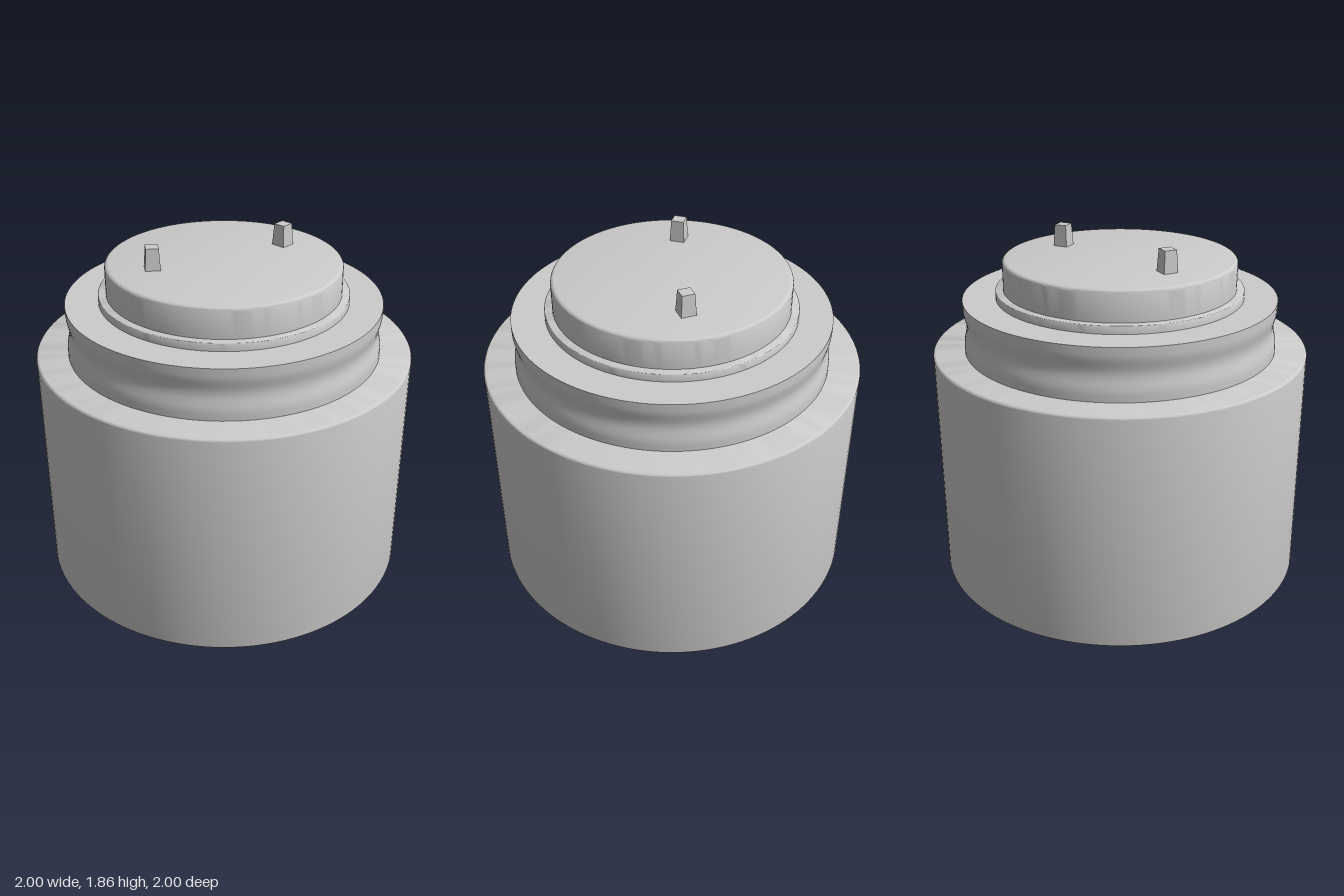
import * as THREE from 'three';
import { toCreasedNormals } from 'three/addons/utils/BufferGeometryUtils.js';

const material = new THREE.MeshStandardMaterial({ color: 0xcccccc });

function addMesh(group, name, geometry) {
  const mesh = new THREE.Mesh(geometry, material);
  mesh.name = name;
  group.add(mesh);
  return mesh;
}

// Turned part from a bottom-to-top profile of [radius, y]; hard corners stay sharp.
function turned(profile) {
  const points = profile.map(([r, y]) => new THREE.Vector2(r, y));
  return toCreasedNormals(new THREE.LatheGeometry(points, 128), 0.6);
}

// Quarter-round edge between a side wall and a flat face (dir 1 = top, -1 = bottom).
function roundedEdge(radius, y, size, dir) {
  const arc = [];
  for (let i = 0; i <= 4; i++) {
    const a = (i / 4) * Math.PI / 2;
    arc.push([radius - size * (1 - Math.cos(a)), y - dir * size * (1 - Math.sin(a))]);
  }
  return dir > 0 ? arc : arc.reverse();
}

export function createModel() {
  const model = new THREE.Group();
  model.name = 'canister';

  // Main drum with softened rims
  addMesh(model, 'body', turned([
    [0, 0], ...roundedEdge(1, 0, 0.012, -1), ...roundedEdge(1, 1.26, 0.014, 1), [0, 1.26],
  ]));

  // Waisted neck: straight lip, shallow hollow, straight lip
  const neck = [[0.833, 1.25], [0.833, 1.295]];
  for (let i = 1; i < 12; i++) {
    const t = i / 12;
    neck.push([0.833 - 0.016 * Math.sin(Math.PI * t) ** 2, 1.295 + 0.2 * t]);
  }
  neck.push([0.833, 1.495], [0.833, 1.535], [0, 1.535]);
  addMesh(model, 'neck', turned(neck));

  // Thin step under the cap
  addMesh(model, 'flange', turned([
    [0.658, 1.53], ...roundedEdge(0.658, 1.578, 0.005, 1), [0, 1.578],
  ]));

  // Raised cap
  addMesh(model, 'cap', turned([
    [0.617, 1.57], ...roundedEdge(0.617, 1.74, 0.02, 1), [0, 1.74],
  ]));

  // Pair of tapered square pins, turned in mirror image
  for (const side of [-1, 1]) {
    const height = 0.125;
    const geometry = new THREE.CylinderGeometry(0.066 / Math.SQRT2, 0.08 / Math.SQRT2, height, 4, 1)
      .rotateY(Math.PI / 4).toNonIndexed();
    geometry.computeVertexNormals();
    const pin = addMesh(model, side > 0 ? 'leftPin' : 'rightPin', geometry);
    pin.position.set(side * 0.38, 1.73 + height / 2, -0.052);
    pin.rotation.y = side * 0.33;
  }

  return model;
}
